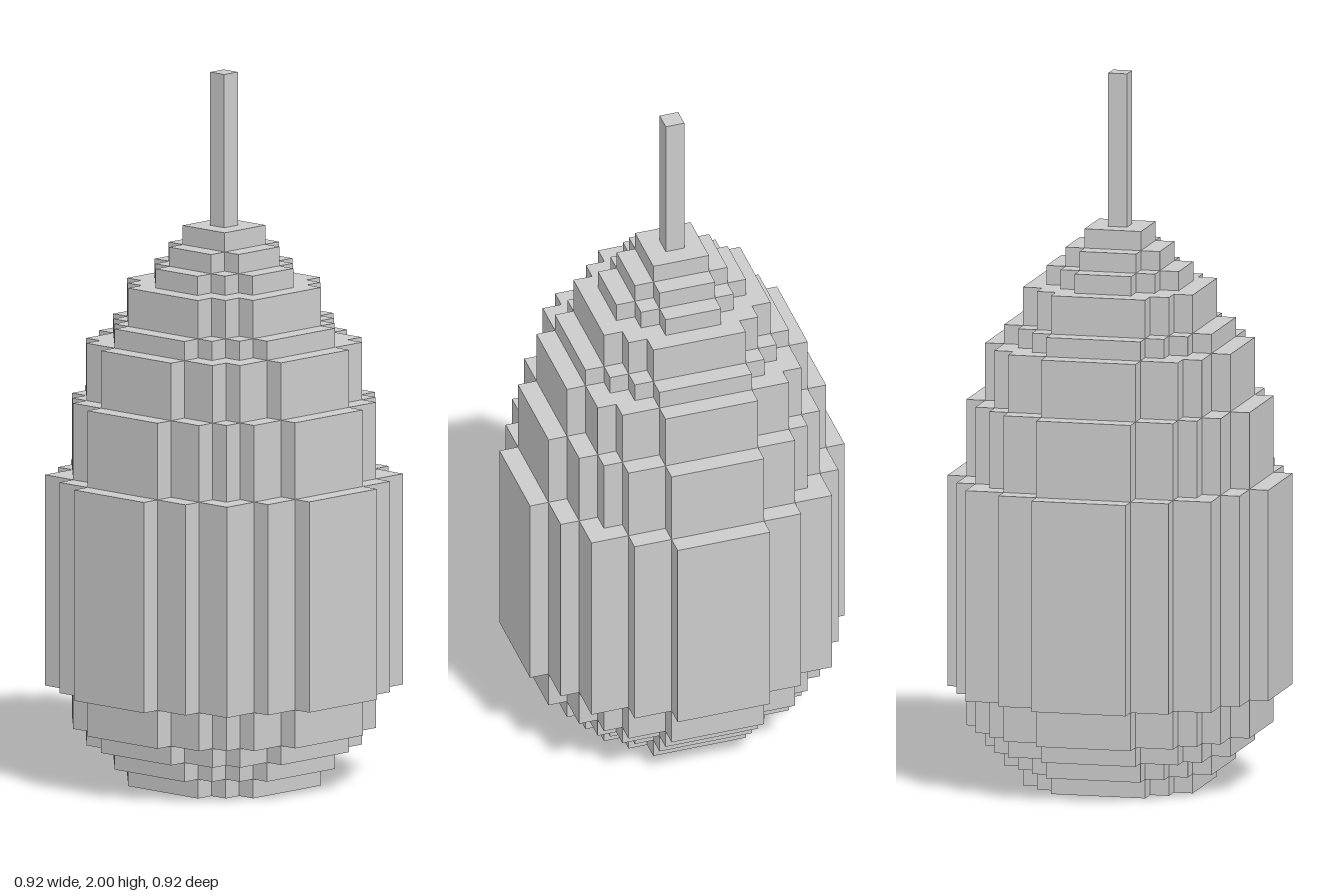
import * as THREE from 'three';

const U = 2 / 37; // edge of one block: the model is 37 blocks tall

// Stepped outline of a disc made of square blocks, r blocks in radius
function blockDisc(r) {
  const n = Math.floor(r);
  const half = (x) => Math.floor(Math.sqrt(r * r - x * x)) + 0.5;
  const upper = [];
  for (let x = -n; x <= n; x++) {
    if (x === -n || half(x) !== half(x - 1)) upper.push([x - 0.5, half(x)]);
    if (x === n || half(x) !== half(x + 1)) upper.push([x + 0.5, half(x)]);
  }
  const lower = upper.map(([x, z]) => [x, -z]).reverse();
  return new THREE.Shape([...upper, ...lower].map(([x, z]) => new THREE.Vector2(x * U, z * U)));
}

export function createModel() {
  const group = new THREE.Group();
  const material = new THREE.MeshStandardMaterial({ color: 0xcccccc, flatShading: true });

  // Body layers from the bottom up: [radius, height] in blocks
  const layers = [
    [4.5, 1], [5.5, 1], [6.5, 1], [7.5, 2], [8.5, 11], [7.5, 4],
    [6.5, 3], [5.5, 1], [4.5, 2], [3.5, 1], [2.5, 1], [1.5, 1],
  ];
  const body = new THREE.Group();
  body.name = 'body';
  let y = 0;
  layers.forEach(([r, h], i) => {
    const geometry = new THREE.ExtrudeGeometry(blockDisc(r), { depth: h * U, bevelEnabled: false });
    geometry.rotateX(-Math.PI / 2);
    const layer = new THREE.Mesh(geometry, material);
    layer.name = `bodyLayer${i + 1}`;
    layer.position.y = y * U;
    body.add(layer);
    y += h;
  });
  group.add(body);

  // Thin square stem on top
  const stemHeight = 37 - y;
  const stem = new THREE.Mesh(new THREE.BoxGeometry(U, stemHeight * U, U), material);
  stem.name = 'stem';
  stem.position.y = (y + stemHeight / 2) * U;
  group.add(stem);

  return group;
}
